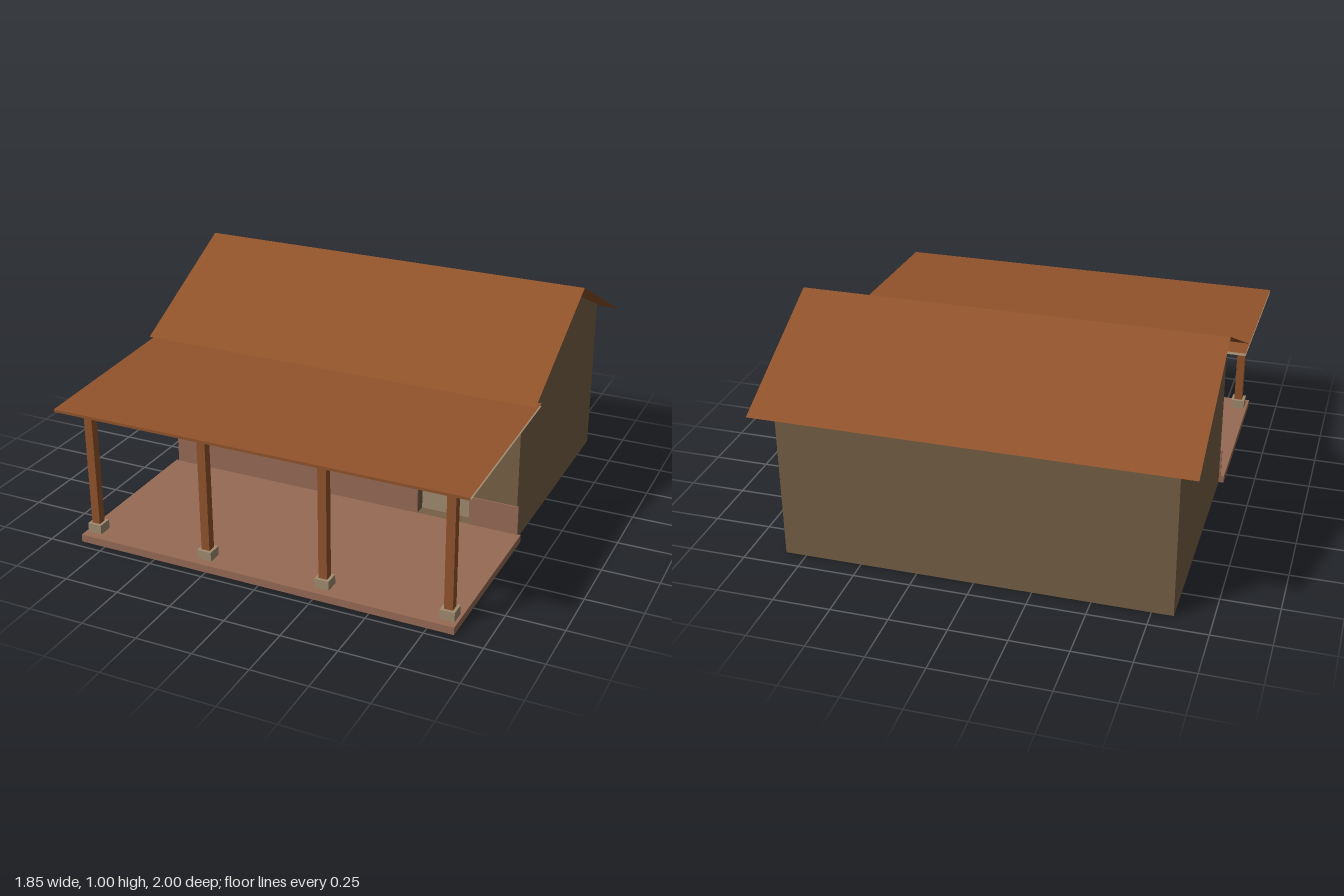
import * as THREE from 'three';

const mat = (name, color, side = THREE.FrontSide) => {
  const m = new THREE.MeshStandardMaterial({ color, side });
  m.name = name;
  return m;
};

export function createModel() {
  const house = new THREE.Group();
  house.name = 'house';

  const wall = mat('plaster', 0x766046, THREE.DoubleSide);
  const stone = mat('pale stone', 0xa08b6f, THREE.DoubleSide);
  const brick = mat('brick', 0x966a54);
  const wood = mat('brown timber', 0x91532b, THREE.DoubleSide);

  const add = (name, geometry, material) => {
    const mesh = new THREE.Mesh(geometry, material);
    mesh.name = name;
    house.add(mesh);
    return mesh;
  };

  // Box given by its lower and upper limits on each axis
  const box = (name, material, [x0, x1], [y0, y1], [z0, z1]) => {
    const g = new THREE.BoxGeometry(x1 - x0, y1 - y0, z1 - z0);
    g.translate((x0 + x1) / 2, (y0 + y1) / 2, (z0 + z1) / 2);
    return add(name, g, material);
  };

  // Four-cornered sheet, corners anticlockwise from its front
  const quad = (name, material, corners) => {
    const g = new THREE.BufferGeometry();
    g.setAttribute('position', new THREE.Float32BufferAttribute(corners.flat(), 3));
    g.setIndex([0, 1, 2, 0, 2, 3]);
    g.computeVertexNormals();
    return add(name, g, material);
  };

  // Sheet across the whole width, from its near edge to its far edge
  const sheet = (name, material, [y1, z1], [y0, z0], w = 0.925) =>
    quad(name, material, [[-w, y1, z1], [w, y1, z1], [w, y0, z0], [-w, y0, z0]]);

  const points = (list) => list.map(([x, y]) => new THREE.Vector2(x, y));
  const corners = ([x0, x1, y0, y1]) => [[x0, y0], [x1, y0], [x1, y1], [x0, y1]];

  const W = 0.842, T = 0.09, FRONT = 0.17, BACK = -0.915, EAVE = 0.725, MID = -0.3725;
  const RIDGE = 0.985;
  const door = [0.382, 0.625, 0.035, 0.51];
  const win = [-0.68, -0.435, 0.24, 0.46];

  // Outer and inner wall skins, open underneath
  for (const [skin, t, turn] of [['outer', 0, 0], ['inner', T, Math.PI]]) {
    const w = W - t, front = FRONT - t, back = BACK + t;
    const top = EAVE + t * (RIDGE - EAVE) / (FRONT - MID);

    const face = new THREE.Shape(points(corners([-w, w, 0, top])));
    for (const hole of [door, win]) face.holes.push(new THREE.Path(points(corners(hole))));
    add(skin + 'FrontWall', new THREE.ShapeGeometry(face).translate(0, 0, front), wall);

    quad(skin + 'BackWall', wall, [[w, 0, back], [-w, 0, back], [-w, top, back], [w, top, back]]);

    const gable = new THREE.Shape(points(
      [[-front, 0], [-back, 0], [-back, top], [-MID, RIDGE], [-front, top]]));
    for (const [name, x] of [['RightGable', -w], ['LeftGable', w]]) {
      add(skin + name, new THREE.ShapeGeometry(gable).rotateY(Math.PI / 2).translate(x, 0, 0), wall);
    }
  }

  // Reveals around the openings
  for (const [name, opening] of [['doorReveal', door], ['windowReveal', win]]) {
    corners(opening).forEach(([x, y], i, all) => {
      const [u, v] = all[(i + 1) % 4];
      quad(name, wall, [[x, y, FRONT], [u, v, FRONT], [u, v, FRONT - T], [x, y, FRONT - T]]);
    });
  }

  // Brick skirting either side of the door
  box('skirtingRight', brick, [-0.85, door[0]], [0.035, 0.17], [0.168, 0.176]);
  box('skirtingLeft', brick, [door[1], 0.85], [0.035, 0.17], [0.168, 0.176]);

  // Recessed door and handle
  box('door', stone, [door[0], door[1]], [door[2], door[3]], [0.1, 0.12]);
  box('doorHandle', wood, [0.585, 0.597], [0.245, 0.27], [0.12, 0.145]);

  // Recessed window with sill and bars
  box('windowPane', stone, [win[0], win[1]], [win[2], win[3]], [0.1, 0.11]);
  box('windowSill', stone, [-0.69, -0.425], [0.228, 0.24], [0.15, 0.188]);
  for (let i = 0; i < 5; i++) {
    const x = -0.653 + i * 0.0485;
    box('windowBar', wood, [x - 0.004, x + 0.004], [win[2], win[3]], [0.146, 0.154]);
  }
  box('windowCrossbar', wood, [win[0], win[1]], [0.349, 0.357], [0.147, 0.153]);

  // Main roof
  sheet('roofFront', wood, [0.687, 0.25], [1, -0.375]);
  sheet('roofBack', wood, [1, -0.375], [0.687, -1]);

  // Porch roof, its edge and ceiling
  sheet('porchRoof', wood, [0.637, 1], [0.674, FRONT]);
  sheet('porchFascia', wood, [0.625, 1], [0.637, 1]);
  sheet('porchCeiling', stone, [0.662, FRONT], [0.625, 1]);

  // Porch floor, beam and posts
  box('porchFloor', brick, [-0.865, 0.865], [0.001, 0.035], [0.172, 0.965]);
  box('porchBeam', wood, [-0.9, 0.9], [0.597, 0.63], [0.873, 0.921]);
  for (let i = 0; i < 4; i++) {
    const x = -0.82 + i * 0.5467;
    const z = 0.897;
    box('postBase', stone, [x - 0.032, x + 0.032], [0, 0.077], [z - 0.032, z + 0.032]);
    box('post', wood, [x - 0.019, x + 0.019], [0.077, 0.597], [z - 0.019, z + 0.019]);
    box('postBracket', wood, [x - 0.06, x + 0.06], [0.578, 0.597], [z - 0.0195, z + 0.0195]);
  }

  return house;
}
